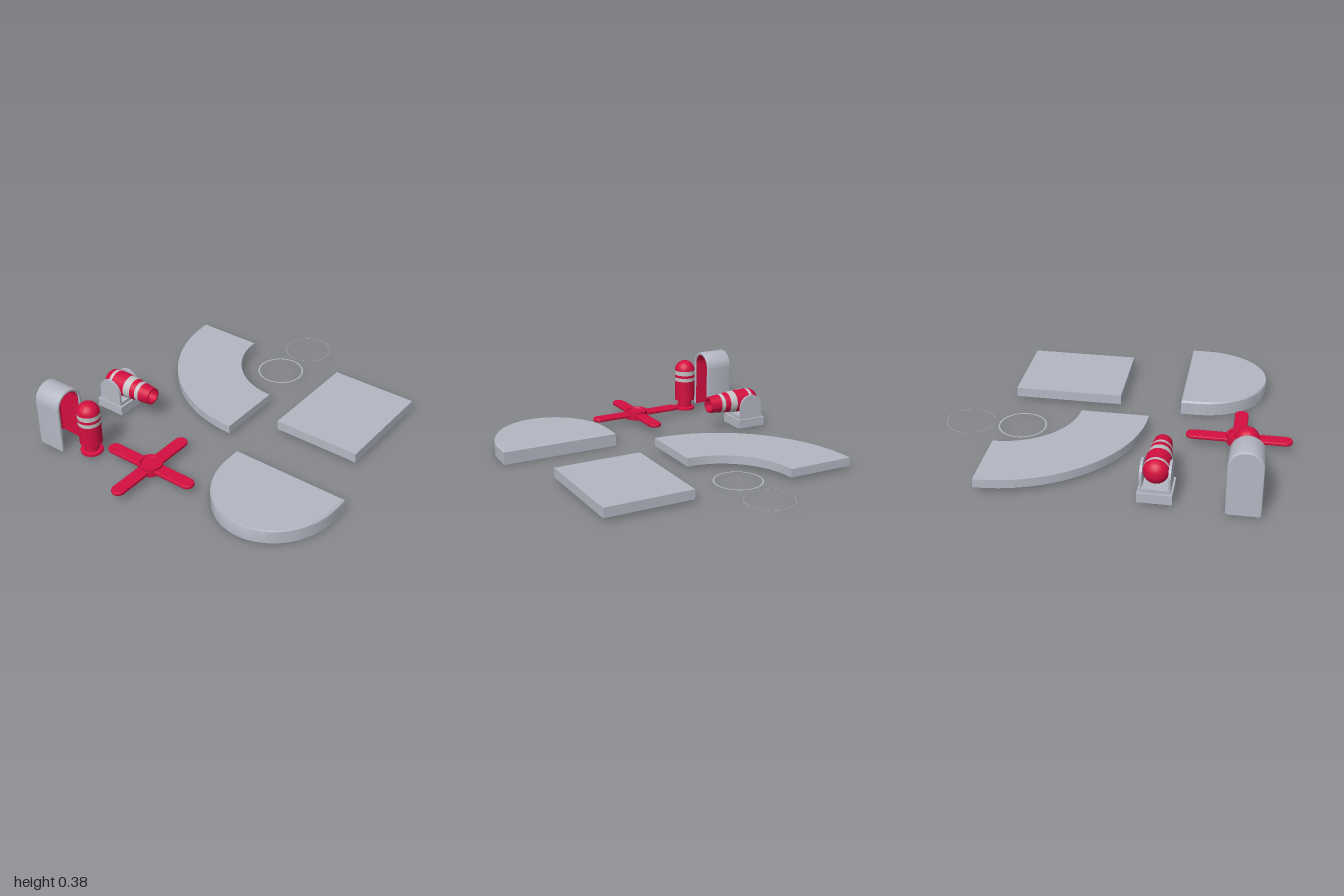
import * as THREE from 'three';
import { toCreasedNormals } from 'three/addons/utils/BufferGeometryUtils.js';

const mat = (name, color) => {
  const m = new THREE.MeshStandardMaterial({ color, side: THREE.DoubleSide });
  m.name = name;
  return m;
};

export function createModel() {
  const grey = mat('grey', 0xb4b7c3);
  const red = mat('red', 0xd40f40);
  const stripe = mat('stripe grey', 0xc2c2c4);
  const model = new THREE.Group();

  const add = (parent, name, geo, material, x = 0, y = 0, z = 0) => {
    const m = new THREE.Mesh(geo, material);
    m.name = name;
    m.position.set(x, y, z);
    parent.add(m);
    return m;
  };
  const group = (name, x, y, z) => {
    const g = new THREE.Group();
    g.name = name;
    g.position.set(x, y, z);
    model.add(g);
    return g;
  };
  const lathe = (pts, seg = 32) =>
    toCreasedNormals(new THREE.LatheGeometry(pts.map(p => new THREE.Vector2(p[0], p[1])), seg), 0.6);
  const arc = (cx, cz, rx, rz, a0, a1, n) => Array.from({ length: n + 1 }, (_, i) => {
    const a = a0 + (a1 - a0) * i / n;
    return [cx + rx * Math.cos(a), cz + rz * Math.sin(a)];
  });

  // Hollow tile, open below: outline in x,z, a wall, a small edge bevel and a top
  function tile(name, outline, y0, y1, bevel = 0) {
    const cx = outline.reduce((s, p) => s + p[0], 0) / outline.length;
    const cz = outline.reduce((s, p) => s + p[1], 0) / outline.length;
    const k = 1 - bevel / 0.35;
    const inner = outline.map(([x, z]) => [cx + (x - cx) * k, cz + (z - cz) * k]);
    const loops = [[outline, y0], [outline, y1 - bevel]];
    if (bevel) loops.push([inner, y1]);
    const pos = [], n = outline.length;
    const put = (l, i) => pos.push(l[0][i % n][0], l[1], l[0][i % n][1]);
    for (let j = 0; j + 1 < loops.length; j++) {
      const a = loops[j], b = loops[j + 1];
      for (let i = 0; i < n; i++) {
        put(a, i); put(b, i); put(a, i + 1);
        put(a, i + 1); put(b, i); put(b, i + 1);
      }
    }
    const top = loops[loops.length - 1];
    const v = top[0].map(p => new THREE.Vector2(p[0], p[1]));
    // Faces wind outward for outlines that turn from +x towards +z
    for (const f of THREE.ShapeUtils.triangulateShape(v, [])) {
      const [a, b, c] = f.map(i => v[i]);
      const up = (b.x - a.x) * (c.y - a.y) - (b.y - a.y) * (c.x - a.x) < 0;
      for (const i of up ? f : [f[0], f[2], f[1]]) put(top, i);
    }
    const g = new THREE.BufferGeometry();
    g.setAttribute('position', new THREE.Float32BufferAttribute(pos, 3));
    add(model, name, toCreasedNormals(g, 0.5), grey);
  }
  const H = Math.PI / 2;
  tile('curvedTile', [...arc(-0.03, -0.65, 0.82, 0.82, H, 2 * H, 28),
    ...arc(-0.03, -0.65, 0.42, 0.42, 2 * H, H, 28)], 0.02, 0.07);
  tile('squareTile', [[0.17, -0.67], [0.7, -0.67], [0.7, -0.03], [0.17, -0.03]], 0.02, 0.077);
  tile('roundedTile', [[0.15, 0.335], [0.86, 0.335],
    ...arc(0.505, 0.425, 0.355, 0.4, 0, Math.PI, 32)], 0, 0.085, 0.01);

  // Flat hoops
  for (const [name, z, w] of [['hoop', -0.55, 0.009], ['thinHoop', -0.86, 0.002]])
    add(model, name, new THREE.RingGeometry(0.141 - w, 0.141, 64).rotateX(-H), grey, -0.17, 0.02, z);

  // Four-armed rotor with a raised hub
  const rotor = group('rotor', -0.17, 0.055, 0.7);
  const arm = new THREE.Shape();
  arm.absarc(0.26, 0, 0.032, -H, H);
  arm.absarc(-0.26, 0, 0.032, H, 3 * H);
  const armGeo = new THREE.ExtrudeGeometry(arm, {
    depth: 0.01, bevelThickness: 0.006, bevelSize: 0.007, bevelSegments: 2, curveSegments: 10,
  }).translate(0, 0, -0.005).rotateX(-H);
  add(rotor, 'armX', armGeo, red);
  add(rotor, 'armZ', armGeo, red).rotation.y = H;
  add(rotor, 'hub', lathe([[0, -0.016], [0.052, -0.016], [0.056, -0.026], [0.07, -0.026],
    [0.07, 0.026], [0.056, 0.026], [0.052, 0.016], [0, 0.016]]), red);

  // Domed post with two stripes
  const post = group('post', -0.56, 0, 0.755);
  add(post, 'foot', lathe([[0, 0.02], [0.065, 0.02], [0.065, 0.033], [0.043, 0.037],
    [0.043, 0.085], [0.065, 0.085], [0.065, 0.215]]), red);
  const band = (r0, y0, r1, y1) => lathe([[r0, y0], [r1, y1]]);
  add(post, 'lowerStripe', band(0.065, 0.215, 0.065, 0.239), stripe);
  add(post, 'middle', band(0.065, 0.239, 0.065, 0.256), red);
  add(post, 'upperStripe', band(0.065, 0.256, 0.065, 0.285), stripe);
  add(post, 'dome', lathe(arc(0, 0.285, 0.065, 0.063, 0, H, 10)), red);

  // Arched alcove, open towards +x and below, with a red lining
  const alcove = group('alcove', -0.865, 0.01, 0.767);
  const arch = (r, s = new THREE.Shape()) => {
    s.moveTo(r, 0);
    s.lineTo(r, 0.278);
    s.absarc(0, 0.278, r, 0, Math.PI);
    s.lineTo(-r, 0);
    return s;
  };
  const hood = arch(0.093);
  hood.lineTo(-0.074, 0);
  hood.lineTo(-0.074, 0.278);
  hood.absarc(0, 0.278, 0.074, Math.PI, 0, true);
  hood.lineTo(0.074, 0);
  const b = 0.008;
  add(alcove, 'hood', toCreasedNormals(new THREE.ExtrudeGeometry(hood, {
    depth: 0.175 - 2 * b, bevelThickness: b, bevelSize: b, bevelOffset: -b, bevelSegments: 3, curveSegments: 20,
  }).translate(0, 0, b).rotateY(H), 0.6), grey);
  add(alcove, 'backWall', new THREE.ExtrudeGeometry(arch(0.084), {
    depth: 0.012, bevelEnabled: false, curveSegments: 20 }).rotateY(H), grey);
  add(alcove, 'redBack', new THREE.ShapeGeometry(arch(0.074), 20).rotateY(H), red, 0.016);
  const lining = arch(0.074);
  lining.lineTo(-0.071, 0);
  lining.lineTo(-0.071, 0.278);
  lining.absarc(0, 0.278, 0.071, Math.PI, 0, true);
  lining.lineTo(0.071, 0);
  add(alcove, 'lining', toCreasedNormals(new THREE.ExtrudeGeometry(lining, {
    depth: 0.15, bevelEnabled: false, curveSegments: 20 }).rotateY(H), 0.6), red, 0.016);

  // Cannon base and side brackets
  const cannon = group('cannon', -0.747, 0, 0.31);
  add(cannon, 'base', new THREE.BoxGeometry(0.185, 0.055, 0.185), grey, 0, 0.0425, 0);
  add(cannon, 'upperBase', new THREE.BoxGeometry(0.158, 0.02, 0.165), grey, 0, 0.08, 0);
  const cheek = new THREE.Shape();
  cheek.moveTo(-0.076, 0.085);
  cheek.lineTo(0.076, 0.085);
  cheek.absarc(0, 0.145, 0.076, 0, Math.PI);
  const cheekGeo = new THREE.ExtrudeGeometry(cheek, { depth: 0.014, bevelEnabled: false, curveSegments: 16 });
  for (const s of [-1, 1]) add(cannon, 'bracket', cheekGeo, grey, 0, 0, s * 0.075 - 0.007);

  // Cannon barrel along +x: domed breech, striped taper, open muzzle
  const barrel = new THREE.Group();
  barrel.name = 'barrel';
  barrel.position.y = 0.172;
  barrel.rotation.z = -H;
  cannon.add(barrel);
  add(barrel, 'breech', lathe(arc(0, -0.022, 0.069, 0.061, -H, 0, 10)), red);
  const radius = x => x < 0.09 ? 0.069 : 0.069 - (x - 0.09) * 0.11;
  const cuts = [-0.022, -0.002, 0.09, 0.135, 0.17, 0.195, 0.265];
  for (let i = 0; i < 6; i++)
    add(barrel, i % 2 ? 'barrelSection' : 'barrelStripe',
      band(radius(cuts[i]), cuts[i], radius(cuts[i + 1]), cuts[i + 1]), i % 2 ? red : stripe);
  add(barrel, 'muzzle', lathe([[0.0498, 0.265], [0.039, 0.265], [0.036, 0.2], [0, 0.2]]), red);

  return model;
}
